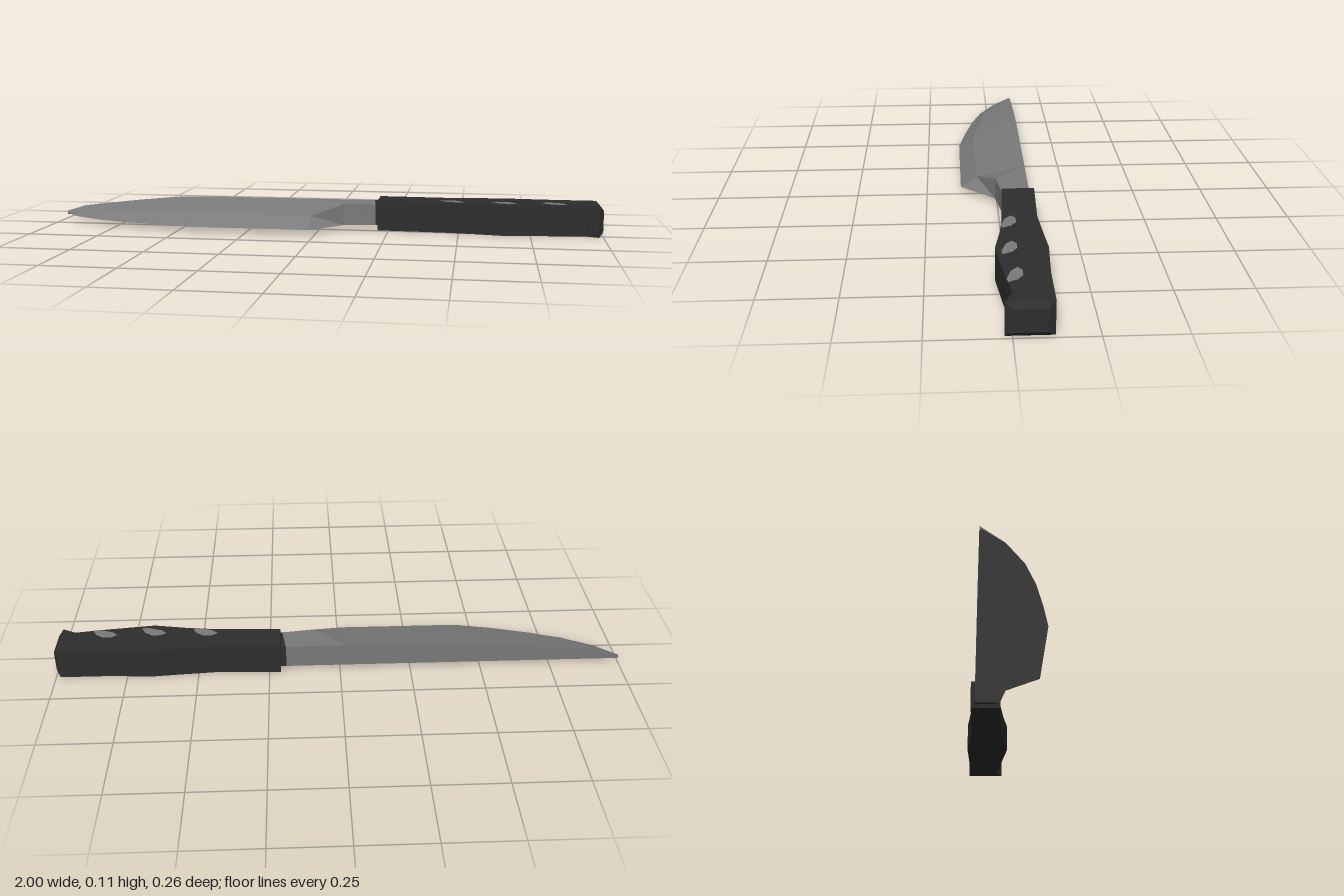
import * as THREE from 'three';

// Skin a list of four-cornered cross-sections running along +x, with both ends capped.
function loft(sections) {
  const pos = [];
  const tri = (a, b, c) => pos.push(...a, ...b, ...c);
  const quad = (a, b, c, d) => { tri(a, b, c); tri(a, c, d); };
  for (let i = 0; i < sections.length - 1; i++) {
    const s = sections[i], n = sections[i + 1];
    for (let j = 0; j < 4; j++) {
      const k = (j + 1) % 4;
      quad(s[j], s[k], n[k], n[j]);
    }
  }
  const first = sections[0], last = sections[sections.length - 1];
  quad(first[3], first[2], first[1], first[0]);
  quad(last[0], last[1], last[2], last[3]);
  const g = new THREE.BufferGeometry();
  g.setAttribute('position', new THREE.Float32BufferAttribute(pos, 3));
  g.computeVertexNormals();
  return g;
}

export function createModel() {
  const steel = new THREE.MeshStandardMaterial({ color: 0x7a7a7a });
  steel.name = 'steel';
  const black = new THREE.MeshStandardMaterial({ color: 0x2e2e2e });
  black.name = 'black grip';
  const group = new THREE.Group();
  const add = (name, geometry, material) => {
    const mesh = new THREE.Mesh(geometry, material);
    mesh.name = name;
    group.add(mesh);
    return mesh;
  };

  // Blade: x, spine height, crease z, crease height, cutting edge z
  const spine = -0.105;
  const blade = [
    [-1, 0.028, -0.102, 0.026, -0.1],
    [-0.93, 0.05, -0.07, 0.038, -0.03],
    [-0.82, 0.064, -0.015, 0.044, 0.03],
    [-0.7, 0.078, 0.02, 0.05, 0.07],
    [-0.57, 0.091, 0.047, 0.056, 0.1],
    [-0.43, 0.096, 0.07, 0.06, 0.127],
    [-0.02, 0.096, 0.07, 0.06, 0.127],
    [0.09, 0.096, 0.005, 0.095, 0.007],
    [0.19, 0.096, -0.008, 0.095, -0.008],
  ].map(([x, top, cz, cy, ez]) => [
    [x, 0.014, spine], [x, top, spine], [x, cy, cz], [x, 0.019, ez],
  ]);
  add('blade', loft(blade), steel);

  // Slanted joint between blade and handle
  add('bladeNeckEnd', loft([
    [[0.19, 0.014, spine], [0.19, 0.096, spine], [0.203, 0.095, -0.01], [0.203, 0.019, -0.01]],
    [[0.215, 0.014, spine], [0.215, 0.096, spine], [0.215, 0.095, -0.01], [0.215, 0.019, -0.01]],
  ]), black);
  add('neckFiller', loft([
    [[0.19, 0.014, spine], [0.19, 0.096, spine], [0.19, 0.095, -0.008], [0.19, 0.019, -0.008]],
    [[0.191, 0.014, spine], [0.191, 0.096, spine], [0.203, 0.095, -0.009], [0.203, 0.019, -0.009]],
  ]), steel);

  // Handle: x, back z, front z, inset of top and bottom
  const handle = [
    [0.21, -0.121, -0.01, 0],
    [0.44, -0.113, 0, 0],
    [0.55, -0.121, 0.014, 0],
    [0.66, -0.13, 0.034, 0],
    [0.82, -0.121, 0.015, 0],
    [0.94, -0.121, -0.002, 0],
    [0.985, -0.121, 0.022, 0],
    [1, -0.1, 0.003, 0.017],
  ].map(([x, back, front, inset]) => [
    [x, inset, back], [x, 0.109 - inset, back], [x, 0.109 - inset, front], [x, inset, front],
  ]);
  add('handle', loft(handle), black);

  // Three thin rivet plates, cut off by the handle's front edge
  const outline = [[-0.046, -0.012], [-0.028, -0.026], [0.005, -0.026], [0.03, -0.008],
    [0.044, 0.02], [0.025, 0.024], [0, 0.016], [-0.025, 0.008]];
  const rivet = new THREE.ShapeGeometry(
    new THREE.Shape(outline.map(([x, z]) => new THREE.Vector2(x, -z))));
  rivet.rotateX(-Math.PI / 2);
  [[0.478, -0.016], [0.66, -0.008], [0.833, -0.014]].forEach(([x, z], i) => {
    add('rivet' + (i + 1), rivet, steel).position.set(x, 0.1105, z);
  });

  return group;
}
